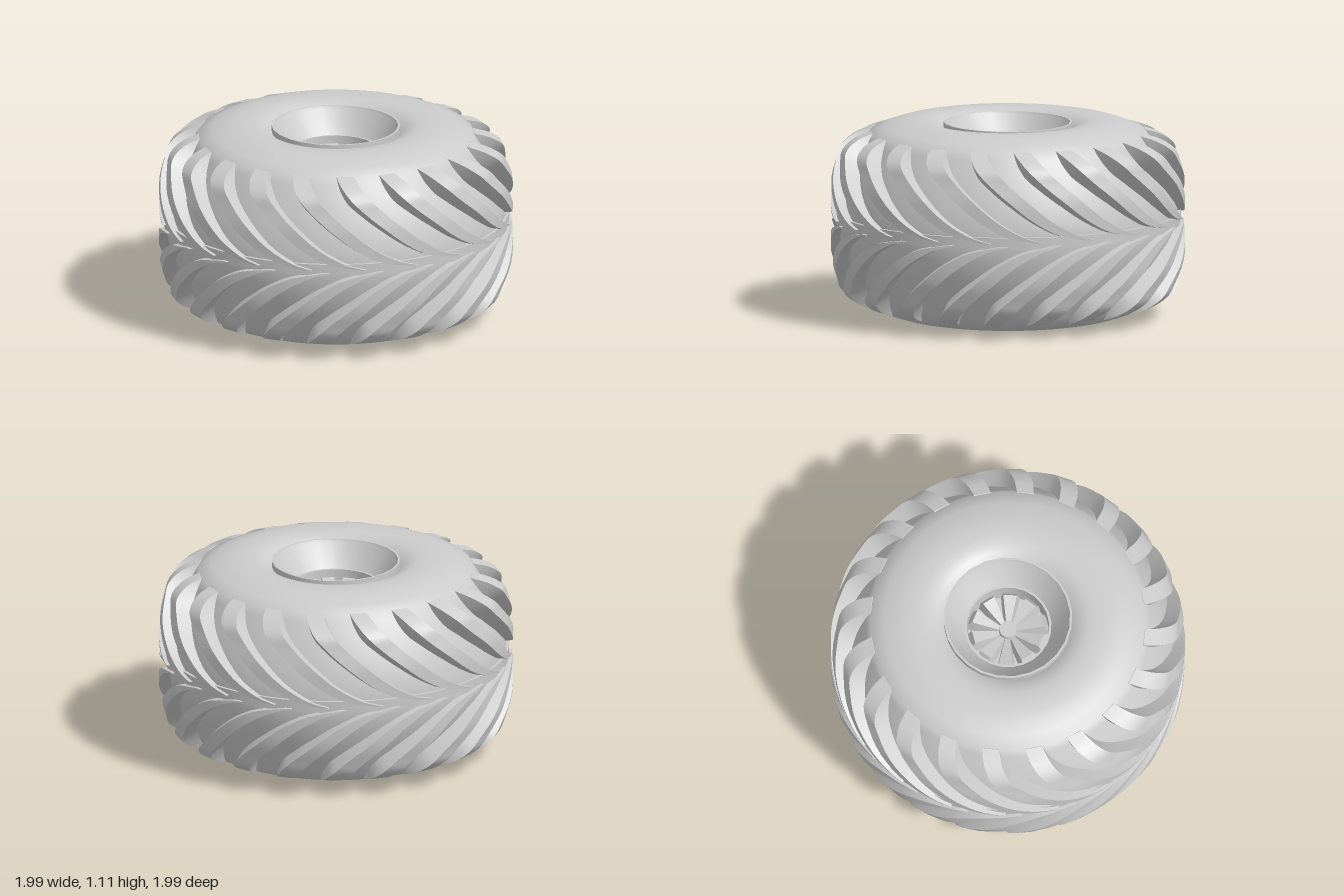
import * as THREE from 'three';
import { toCreasedNormals } from 'three/addons/utils/BufferGeometryUtils.js';

const MID = 0.555;   // height of the tyre's centre line
const LUGS = 20;
const PITCH = (Math.PI * 2) / LUGS;
const material = new THREE.MeshStandardMaterial({ color: 0xcccccc });

function add(parent, name, geometry) {
  const mesh = new THREE.Mesh(geometry, material);
  mesh.name = name;
  parent.add(mesh);
  return mesh;
}

function lathe(points, segments, crease) {
  const g = new THREE.LatheGeometry(points.map(p => new THREE.Vector2(p[0], p[1])), segments);
  return toCreasedNormals(g, crease);
}

// Solid from a row of equal four-cornered sections, capped at both ends
function loft(sections, crease, flip) {
  const n = 4, index = [], pos = sections.flat(2);
  const quad = (a, b, c, d) => flip
    ? index.push(a, c, b, a, d, c)
    : index.push(a, b, c, a, c, d);
  for (let i = 0; i < sections.length - 1; i++) {
    for (let j = 0; j < n; j++) {
      const k = (j + 1) % n;
      quad(i * n + j, i * n + k, (i + 1) * n + k, (i + 1) * n + j);
    }
  }
  const e = (sections.length - 1) * n;
  quad(3, 2, 1, 0);
  quad(e, e + 1, e + 2, e + 3);
  const g = new THREE.BufferGeometry();
  g.setAttribute('position', new THREE.Float32BufferAttribute(pos, 3));
  g.setIndex(index);
  return toCreasedNormals(g, crease);
}

const polar = (r, angle, y) => [r * Math.sin(angle), y, r * Math.cos(angle)];

// One curved lug, from the centre rib to the shoulder: (angle, height, radius)
function lugGeometry(side) {
  const path = new THREE.CatmullRomCurve3([
    [0.72, 0.008, 0.990], [0.57, 0.045, 0.994], [0.42, 0.125, 0.997], [0.28, 0.235, 0.992],
    [0.16, 0.335, 0.965], [0.085, 0.405, 0.94], [0.03, 0.463, 0.865], [0, 0.495, 0.775],
  ].map(p => new THREE.Vector3(...p)));
  const sections = [];
  const steps = 21;
  for (let i = 0; i <= steps; i++) {
    const t = i / steps;
    const p = path.getPoint(t);
    const half = 0.018 + 0.03 * Math.min(1, t * 6) + 0.014 * t;
    const y = MID + side * p.y, yBase = MID + side * p.y * 0.84;
    const r = p.z, rBase = p.z - 0.13;
    sections.push([
      polar(rBase, p.x - half - 0.025, yBase),
      polar(r, p.x - half, y),
      polar(r, p.x + half, y),
      polar(rBase, p.x + half + 0.025, yBase),
    ]);
  }
  return loft(sections, 0.7, side < 0);
}

export function createModel() {
  const model = new THREE.Group();
  model.name = 'tractorWheel';

  // Tyre body: the same half profile above and below the centre line
  const tyre = new THREE.Group();
  tyre.name = 'tyre';
  model.add(tyre);
  const half = [
    [0.955, 0.04], [0.948, 0.1], [0.922, 0.2], [0.882, 0.3], [0.836, 0.39], [0.80, 0.45],
    [0.775, 0.492], [0.70, 0.522], [0.64, 0.541], [0.58, 0.553], [0.50, 0.555],
    [0.45, 0.552], [0.40, 0.538], [0.36, 0.508],
  ];
  const profile = [
    ...half.slice().reverse().map(([r, h]) => [r, MID - h]),
    ...half.map(([r, h]) => [r, MID + h]),
  ];
  add(tyre, 'tyreBody', lathe(profile, 96, 1));

  // Raised rib around the middle of the tread
  add(tyre, 'centreRib', lathe([
    [0.92, 0.53], [0.972, 0.53], [0.972, 0.595], [0.92, 0.595],
  ], 80, 0.6));

  // Chevron tread lugs; the lower row is mirrored and slightly turned
  for (const side of [1, -1]) {
    const row = new THREE.Group();
    row.name = side > 0 ? 'upperLugs' : 'lowerLugs';
    const geometry = lugGeometry(side);
    for (let i = 0; i < LUGS; i++) {
      add(row, 'treadLug', geometry).rotation.y = i * PITCH + (side > 0 ? -0.07 : 0.03);
    }
    tyre.add(row);
  }

  // Wheel: deep dish on top, with a narrow shelf around the spokes
  const wheel = new THREE.Group();
  wheel.name = 'wheel';
  model.add(wheel);
  add(wheel, 'rimDish', lathe([
    [0.362, 1.04], [0.362, 1.1], [0.35, 1.1], [0.343, 1.085],
    [0.245, 0.96], [0.232, 0.96], [0.228, 0.82], [0, 0.82],
  ], 24, 0.5));

  // Underside plate with a round axle socket
  add(wheel, 'axleSocket', lathe([
    [0, 0.23], [0.19, 0.23], [0.19, 0.088], [0.28, 0.075], [0.365, 0.045],
  ], 48, 0.5));

  // Hub and wedge spokes rising towards the rim
  const hub = add(wheel, 'hubCap', new THREE.CylinderGeometry(0.048, 0.06, 0.1, 20));
  hub.position.y = 0.865;
  const spokeSections = [[0.045, 0.012, 0.885], [0.15, 0.03, 0.91], [0.2, 0.038, 0.925], [0.228, 0.042, 0.87]]
    .map(([r, w, top]) => [
      [-w - 0.012, 0.815, r], [w + 0.012, 0.815, r], [w, top, r], [-w, top, r],
    ]);
  const spoke = loft(spokeSections, 0.3, false);
  for (let i = 0; i < 10; i++) {
    add(wheel, 'spoke', spoke).rotation.y = (i * Math.PI) / 5;
  }

  return model;
}
